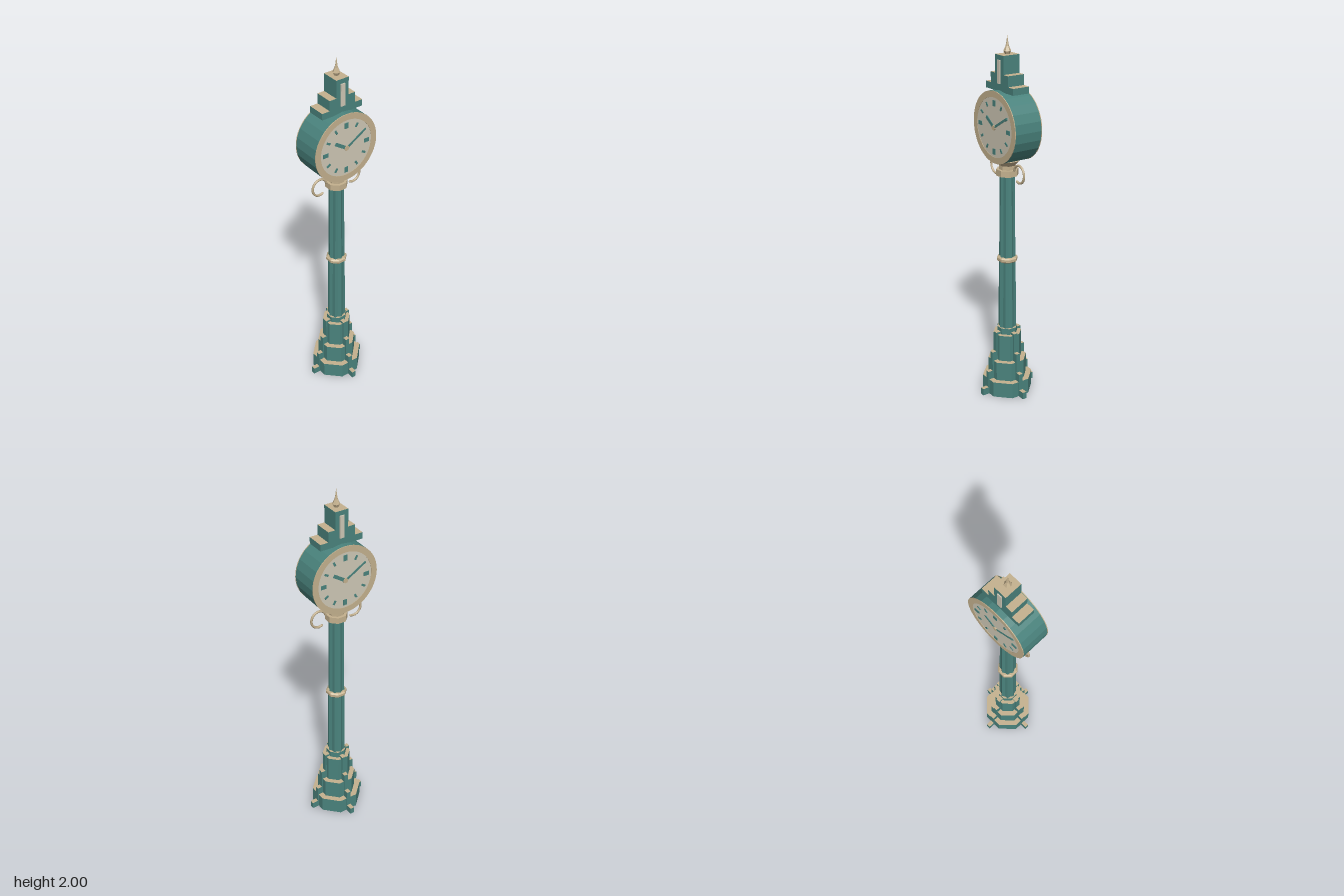
import * as THREE from 'three';

export function createModel() {
  const mat = (name, color) => {
    const m = new THREE.MeshStandardMaterial({ color });
    m.name = name;
    return m;
  };
  const teal = mat('teal paint', 0x4a837d);
  const tan = mat('tan trim', 0xc4b18e);
  const cream = mat('cream dial', 0xcfc8b6);

  const clock = new THREE.Group();
  clock.name = 'streetClock';
  const add = (parent, name, geometry, material, x = 0, y = 0, z = 0) => {
    const mesh = new THREE.Mesh(geometry, material);
    mesh.name = name;
    mesh.position.set(x, y, z);
    parent.add(mesh);
    return mesh;
  };
  const flat = (geometry) => {
    const g = geometry.toNonIndexed();
    g.computeVertexNormals();
    return g;
  };
  // Octagonal prism with flat sides facing the axes, sized by apothem
  const octagon = (top, bottom, height) => {
    const k = 1 / Math.cos(Math.PI / 8);
    return flat(new THREE.CylinderGeometry(top * k, bottom * k, height, 8).rotateY(Math.PI / 8));
  };
  const sideTopBottom = [teal, tan, teal];
  const boxTanTop = [teal, teal, tan, teal, teal, teal];

  // Stepped octagonal base
  for (const [r, y0, y1] of [[0.13, 0, 0.09], [0.1, 0.09, 0.2], [0.073, 0.2, 0.355], [0.052, 0.355, 0.39]]) {
    add(clock, 'baseTier', octagon(r, r, y1 - y0), sideTopBottom, 0, (y0 + y1) / 2);
  }

  // Stepped fins on four sides of the base
  for (let i = 0; i < 4; i++) {
    const fin = new THREE.Group();
    fin.name = 'baseFin';
    fin.rotation.y = i * Math.PI / 2;
    for (const [z0, z1, h] of [[0.135, 0.171, 0.04], [0.107, 0.135, 0.138], [0.082, 0.107, 0.252], [0.04, 0.082, 0.368]]) {
      add(fin, 'finStep', new THREE.BoxGeometry(0.024, h, z1 - z0), boxTanTop, 0, h / 2, (z0 + z1) / 2);
    }
    clock.add(fin);
  }

  // Fluted column: every other vertex of a prism is drawn inward
  const fluted = (top, bottom, height) => {
    const g = new THREE.CylinderGeometry(top, bottom, height, 16, 1, true);
    const p = g.attributes.position;
    for (let i = 0; i < p.count; i++) {
      if (i % 17 % 2 === 1) p.setXYZ(i, p.getX(i) * 0.84, p.getY(i), p.getZ(i) * 0.84);
    }
    return flat(g);
  };
  add(clock, 'lowerShaft', fluted(0.046, 0.05, 0.41), teal, 0, 0.59);
  add(clock, 'upperShaft', fluted(0.04, 0.045, 0.49), teal, 0, 1.04);

  // Shaft ring, collar, neck and flared bracket
  add(clock, 'shaftRing', octagon(0.053, 0.053, 0.014), tan, 0, 0.797);
  add(clock, 'ringUpperBevel', octagon(0.046, 0.053, 0.007), tan, 0, 0.8075);
  add(clock, 'ringLowerBevel', octagon(0.053, 0.046, 0.007), tan, 0, 0.7865);
  add(clock, 'collar', octagon(0.055, 0.055, 0.034), tan, 0, 1.288);
  add(clock, 'neck', octagon(0.041, 0.041, 0.024), tan, 0, 1.316);
  add(clock, 'flare', octagon(0.068, 0.04, 0.03), tan, 0, 1.341);

  // Scroll brackets
  for (const s of [-1, 1]) {
    const pts = [];
    for (let i = 0; i <= 12; i++) {
      const a = THREE.MathUtils.degToRad(165 - i * 23.3);
      pts.push(new THREE.Vector3(s * (0.107 + 0.044 * Math.cos(a)), 1.299 + 0.047 * Math.sin(a), 0));
    }
    const curve = new THREE.CatmullRomCurve3(pts);
    add(clock, 'scroll', new THREE.TubeGeometry(curve, 24, 0.0065, 6), tan);
    for (const end of [pts[0], pts[12]]) {
      add(clock, 'scrollEnd', new THREE.SphereGeometry(0.0065, 6, 4), tan, end.x, end.y, 0);
    }
  }

  // Drum housing
  const head = new THREE.Group();
  head.name = 'clockHead';
  head.position.y = 1.537;
  clock.add(head);
  add(head, 'drum', flat(new THREE.CylinderGeometry(0.19, 0.19, 0.16, 24).rotateX(Math.PI / 2)), teal);

  // The same dial on the front and the back
  for (const turn of [0, Math.PI]) {
    const dial = new THREE.Group();
    dial.name = 'dial';
    dial.rotation.y = turn;
    head.add(dial);
    const ring = new THREE.Shape().absarc(0, 0, 0.19, 0, Math.PI * 2);
    ring.holes.push(new THREE.Path().absarc(0, 0, 0.157, 0, Math.PI * 2, true));
    add(dial, 'bezel', new THREE.ExtrudeGeometry(ring, { depth: 0.004, bevelEnabled: false, curveSegments: 24 }), tan, 0, 0, 0.079);
    add(dial, 'dialFace', new THREE.CircleGeometry(0.16, 32), cream, 0, 0, 0.081);

    // Hour marks, larger at the quarters
    for (let i = 0; i < 12; i++) {
      const a = i * Math.PI / 6;
      const big = i % 3 === 0;
      const mark = add(dial, 'hourMark', new THREE.BoxGeometry(big ? 0.022 : 0.011, big ? 0.031 : 0.024, 0.004),
        teal, Math.sin(a) * 0.127, Math.cos(a) * 0.127, 0.082);
      mark.rotation.z = -a;
    }
    // Hands and hub
    const hand = (name, angle, length, width, z) => {
      const g = new THREE.BoxGeometry(width, length, 0.003).translate(0, length / 2, 0);
      add(dial, name, g, teal, 0, 0, z).rotation.z = angle;
    };
    hand('hourHand', 0.98, 0.082, 0.018, 0.0835);
    hand('minuteHand', -1.03, 0.134, 0.011, 0.085);
    add(dial, 'hub', new THREE.CylinderGeometry(0.014, 0.014, 0.008, 8).rotateX(Math.PI / 2), tan, 0, 0, 0.084);
  }

  // Stepped crown with a slim panel on each face
  for (const [w, y0, y1] of [[0.122, 1.72, 1.755], [0.077, 1.755, 1.81], [0.037, 1.81, 1.905]]) {
    add(clock, 'crownStep', new THREE.BoxGeometry(w * 2, y1 - y0, 0.098), boxTanTop, 0, (y0 + y1) / 2);
  }
  for (const s of [-1, 1]) {
    add(clock, 'crownPanel', new THREE.BoxGeometry(0.025, 0.12, 0.008), cream, 0, 1.82, s * 0.051);
  }

  // Six-sided finial
  const profile = [[0, 1.905], [0.012, 1.905], [0.02, 1.921], [0.009, 1.945], [0.005, 1.965], [0, 2]]
    .map(([x, y]) => new THREE.Vector2(x, y));
  add(clock, 'finial', flat(new THREE.LatheGeometry(profile, 6).rotateY(Math.PI / 6)), tan);

  return clock;
}
